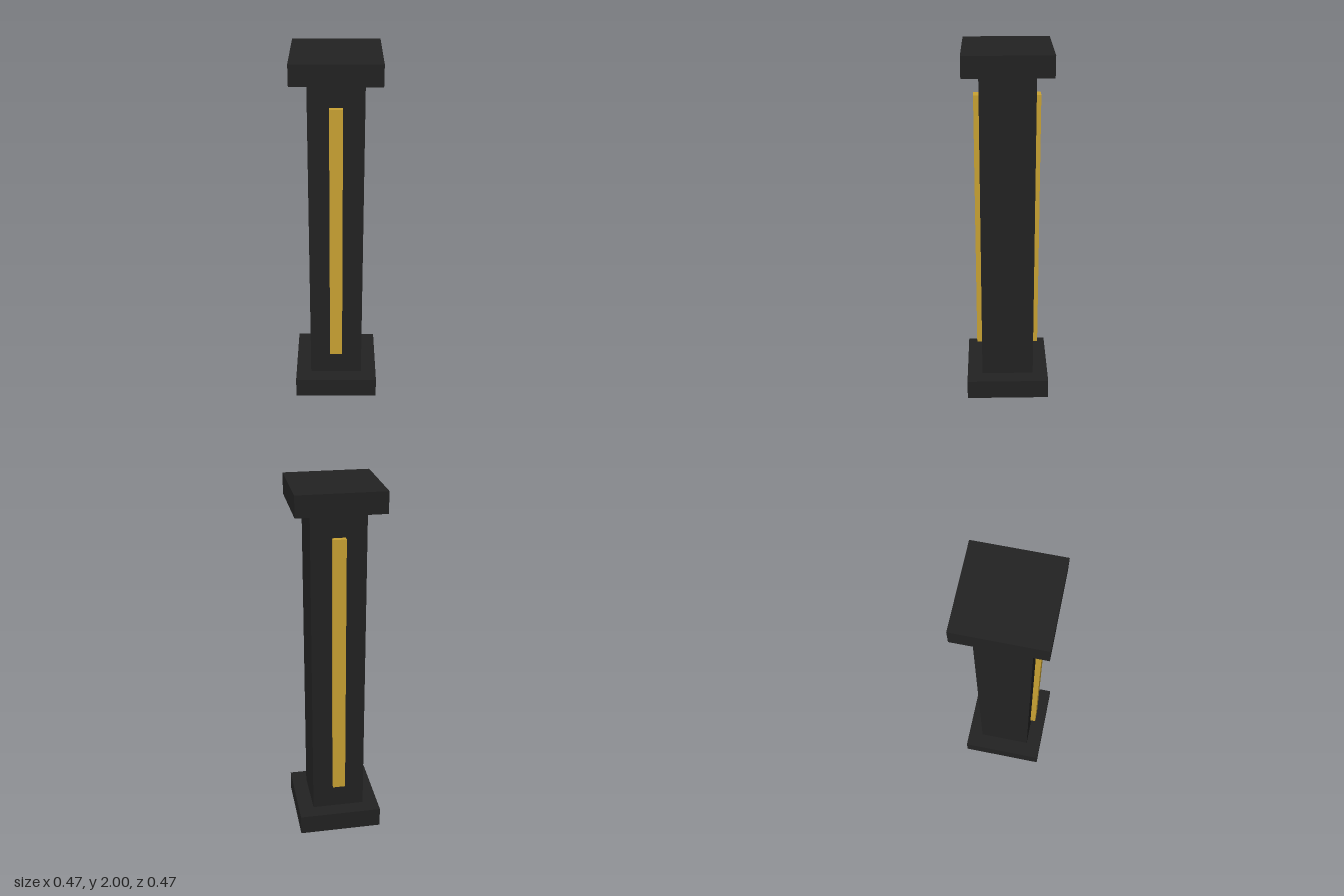
import * as THREE from 'three';

export function createModel() {
  const group = new THREE.Group();
  const darkStone = new THREE.MeshStandardMaterial({ color: 0x222222 });
  darkStone.name = 'darkStone';
  const gold = new THREE.MeshStandardMaterial({ color: 0xc9a233 });
  gold.name = 'gold';

  // Box placed by its bottom height
  function addBox(name, material, w, h, d, bottom, z = 0) {
    const mesh = new THREE.Mesh(new THREE.BoxGeometry(w, h, d), material);
    mesh.name = name;
    mesh.position.set(0, bottom + h / 2, z);
    group.add(mesh);
  }

  // Square shaft between two matching slabs
  const slab = 0.466, slabHeight = 0.113, shaft = 0.294;
  addBox('base', darkStone, slab, slabHeight, slab, 0);
  addBox('shaft', darkStone, shaft, 2 - 2 * slabHeight, shaft, slabHeight);
  addBox('capital', darkStone, slab, slabHeight, slab, 2 - slabHeight);

  // Raised strips on the front and back
  const depth = 0.03;
  for (const [name, side] of [['frontStrip', 1], ['backStrip', -1]]) {
    addBox(name, gold, 0.07, 1.49, depth, 0.26, side * (shaft + depth) / 2);
  }
  return group;
}
